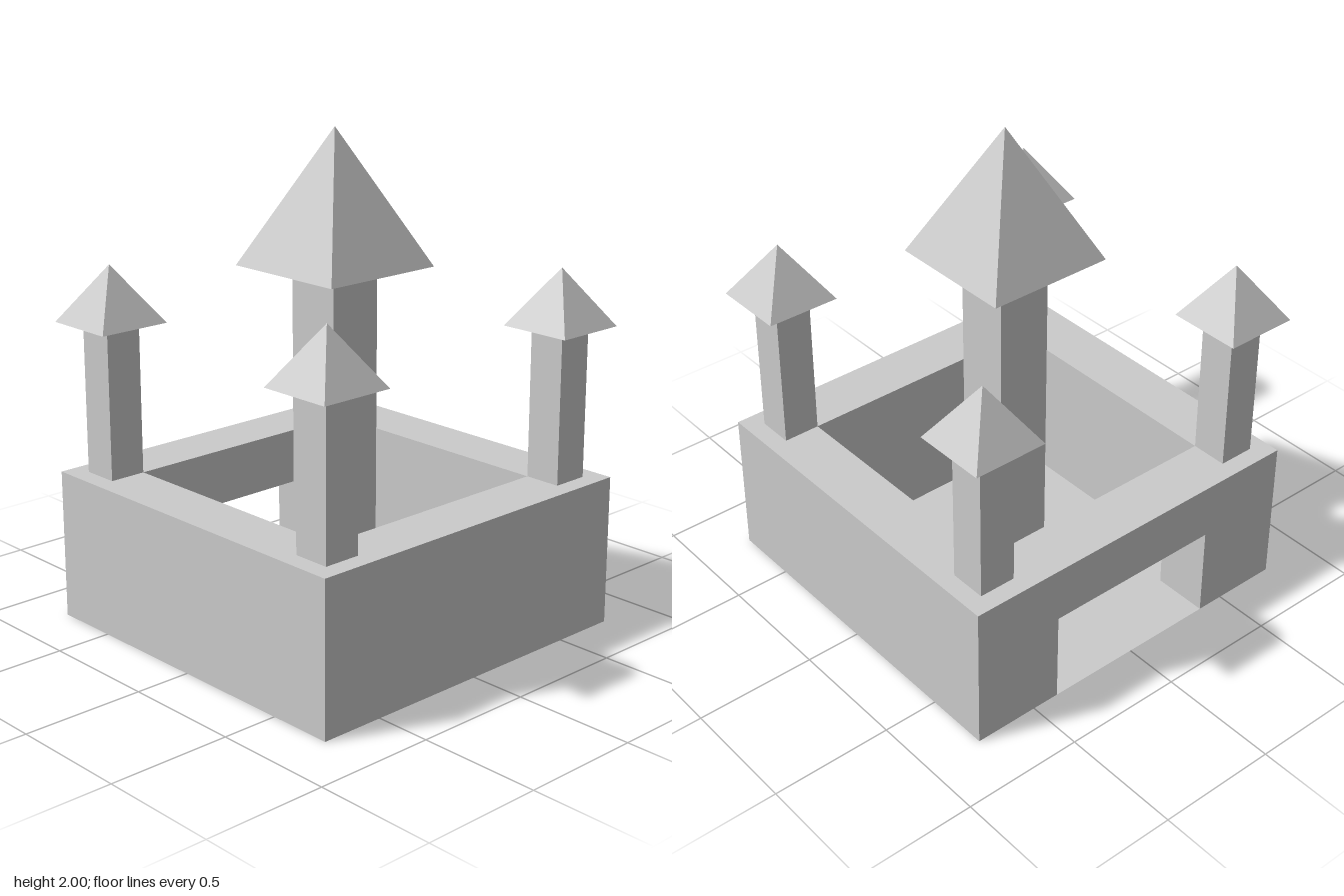
import * as THREE from 'three';

const U = 1 / 13; // one building unit: the castle is 26 units tall
const material = new THREE.MeshStandardMaterial({ color: 0xcccccc, flatShading: true });
const thinMaterial = new THREE.MeshStandardMaterial({ color: 0xcccccc, flatShading: true, side: THREE.DoubleSide });

function add(parent, name, geometry, x, y, z, mat = material) {
  const mesh = new THREE.Mesh(geometry, mat);
  mesh.name = name;
  mesh.position.set(x * U, y * U, z * U);
  parent.add(mesh);
  return mesh;
}

const box = (w, h, d) => new THREE.BoxGeometry(w * U, h * U, d * U);

// Four-sided pyramid with its base at y = 0
function pyramid(width, height) {
  const geometry = new THREE.ConeGeometry(width * U * Math.SQRT1_2, height * U, 4);
  return geometry.rotateY(Math.PI / 4).translate(0, height * U / 2, 0);
}

const points = (list) => list.map(([x, y]) => new THREE.Vector2(x * U, y * U));

export function createModel() {
  const castle = new THREE.Group();
  castle.name = 'castle';

  // Thick courtyard wall, interrupted by the gate on the -x side
  const plan = new THREE.Shape(points([
    [-10, -10], [10, -10], [10, 10], [-10, 10], [-10, 5], [-7, 5],
    [-7, 7], [7, 7], [7, -7], [-7, -7], [-7, -5], [-10, -5],
  ]));
  const wall = new THREE.ExtrudeGeometry(plan, { depth: 8 * U, bevelEnabled: false });
  add(castle, 'courtyardWall', wall.rotateX(-Math.PI / 2), 0, 0, 0);
  add(castle, 'gateLintel', box(3, 3, 10), -8.5, 6.5, 0);

  // Thin floor, open beneath the hollow keep
  const floor = new THREE.Shape(points([[-10, -10], [10, -10], [10, 10], [-10, 10]]));
  floor.holes.push(new THREE.Path(points([[-1.5, -1.5], [-1.5, 1.5], [1.5, 1.5], [1.5, -1.5]])));
  add(castle, 'floor', new THREE.ShapeGeometry(floor).rotateX(-Math.PI / 2), 0, 0, 0, thinMaterial);

  // Central keep: hollow square shaft with a tall roof
  const r = 3 * U * Math.SQRT1_2;
  const shaft = new THREE.CylinderGeometry(r, r, 19 * U, 4, 1, true).rotateY(Math.PI / 4);
  add(castle, 'keepShaft', shaft, 0, 9.5, 0, thinMaterial);
  add(castle, 'keepRoof', pyramid(7, 7), 0, 19, 0);

  // Corner turrets standing on the wall
  for (const x of [-8, 8]) {
    for (const z of [-8, 8]) {
      const turret = new THREE.Group();
      turret.name = 'cornerTurret';
      add(turret, 'turretShaft', box(2, 8, 2), x, 12, z);
      add(turret, 'turretRoof', pyramid(4, 3), x, 16, z);
      castle.add(turret);
    }
  }
  return castle;
}
